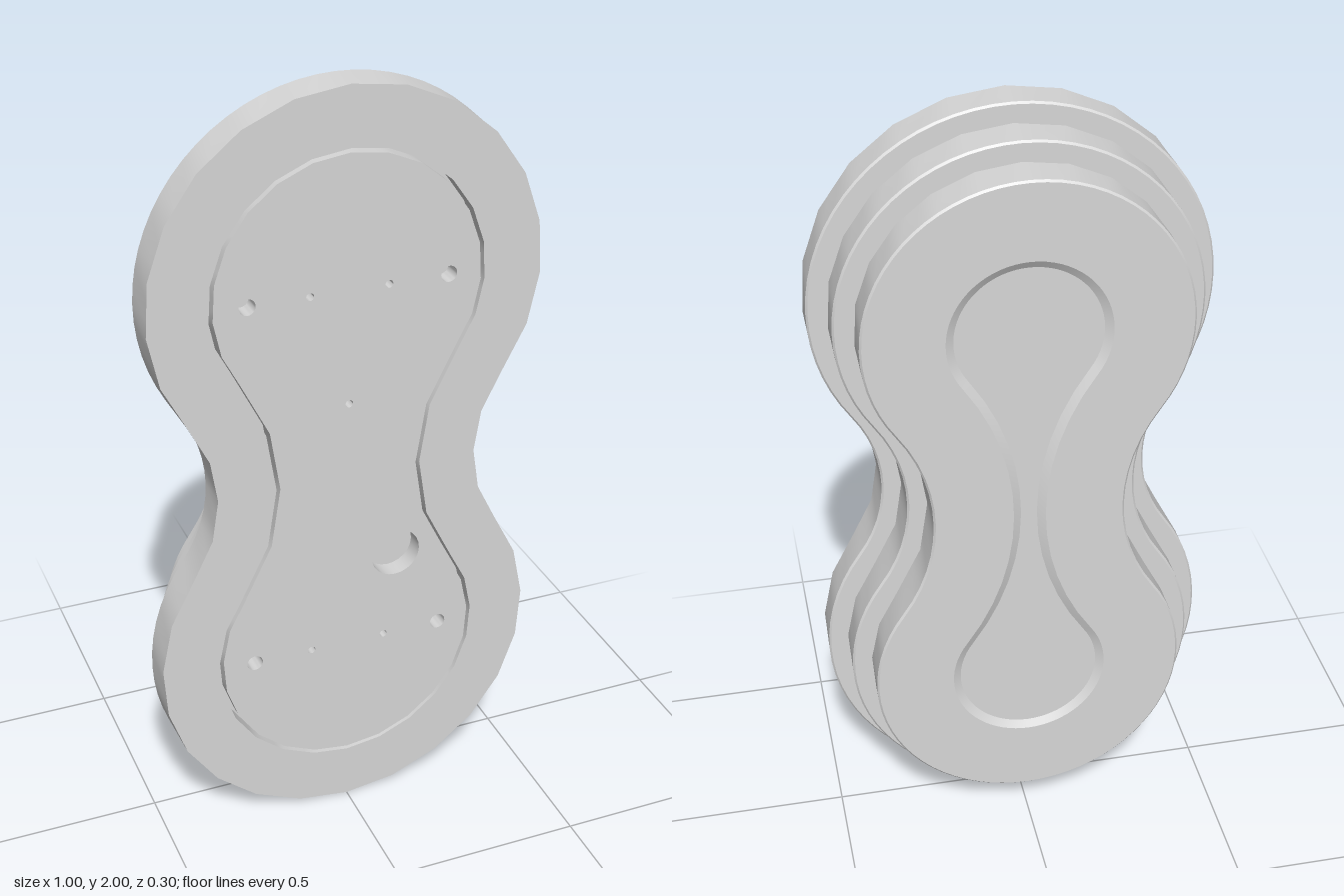
import * as THREE from 'three';
import { toCreasedNormals } from 'three/addons/utils/BufferGeometryUtils.js';

const LOBE = 0.5;                  // lobe radius, lobes centred at y = 0.5 and 1.5
const WAIST = 0.361, WAIST_X = 0.701; // concave arcs joining the lobes
const TANGENT = Math.atan2(0.5, WAIST_X);
const LOBE_SEGS = 16, WAIST_SEGS = 4, FINE = 3; // chords per arc, fine steps per chord

// Hourglass outline, counter-clockwise, shrunk inward by `inset`.
// A round outline follows the arcs, otherwise its points lie on coarse chords.
function outline(inset, round) {
  const points = [];
  const arc = (cx, cy, r, from, to, segs) => {
    const at = (s) => {
      const a = from + (to - from) * s / segs;
      return new THREE.Vector2(cx + r * Math.cos(a), cy + r * Math.sin(a));
    };
    for (let i = 0; i < segs; i++) {
      for (let k = 0; k < FINE; k++) {
        points.push(round ? at(i + k / FINE) : at(i).lerp(at(i + 1), k / FINE));
      }
    }
  };
  const r = LOBE - inset, w = WAIST + inset, t = TANGENT, PI = Math.PI;
  arc(0, 1.5, r, -t, PI + t, LOBE_SEGS);
  arc(-WAIST_X, 1, w, t, -t, WAIST_SEGS);
  arc(0, 0.5, r, PI - t, 2 * PI + t, LOBE_SEGS);
  arc(WAIST_X, 1, w, PI + t, PI - t, WAIST_SEGS);
  return points;
}

// Sweeps a profile of [inset, z, round] steps around the hourglass outline
function sweep(profile) {
  const position = [], index = [];
  let n = 0;
  for (const [inset, z, round] of profile) {
    const ring = outline(inset, round);
    n = ring.length;
    for (const p of ring) position.push(p.x, p.y, z);
  }
  for (let i = 0; i < profile.length - 1; i++) {
    for (let j = 0; j < n; j++) {
      const a = i * n + j, b = i * n + (j + 1) % n;
      index.push(a, a + n, b, b, a + n, b + n);
    }
  }
  const geometry = new THREE.BufferGeometry();
  geometry.setAttribute('position', new THREE.Float32BufferAttribute(position, 3));
  geometry.setIndex(index);
  return toCreasedNormals(geometry, 0.5);
}

export function createModel() {
  const group = new THREE.Group();
  const grey = new THREE.MeshStandardMaterial({ color: 0xd6d6d6 });
  grey.name = 'light grey';
  const add = (name, geometry) => {
    const mesh = new THREE.Mesh(geometry, grey);
    mesh.name = name;
    group.add(mesh);
    return mesh;
  };

  // Front tier with the pocket for the cover
  add('frontTier', sweep([
    [0.15, 0.1, false], [0.15, 0.15, false], [0, 0.15, false],
    [0, 0.055, true], [0.005, 0.05, true], [0.05, 0.05, false],
  ]));
  const floor = new THREE.ShapeGeometry(new THREE.Shape(outline(0.15, false)));
  add('pocketFloor', floor).position.z = 0.1;

  // Middle tier
  add('middleTier', sweep([
    [0.05, 0.05, false], [0.05, -0.045, true], [0.055, -0.05, true], [0.1, -0.05, false],
  ]));

  // Back tier with a shallow, sloping recess
  add('backTier', sweep([
    [0.1, -0.05, false], [0.1, -0.145, true], [0.105, -0.15, true],
    [0.3, -0.15, true], [0.32, -0.138, true],
  ]));
  const recess = new THREE.ShapeGeometry(new THREE.Shape(outline(0.32, true)));
  recess.rotateY(Math.PI);
  add('recessFloor', recess).position.z = -0.138;

  // Cover plate with screw holes, pin holes and a cable opening
  const cover = new THREE.Shape(outline(0.16, false));
  const hole = (x, y, r) => {
    cover.holes.push(new THREE.Path().absarc(x, y, r, 0, Math.PI * 2, true));
  };
  for (const y of [0.5, 1.5]) {
    for (const side of [-1, 1]) {
      hole(side * 0.255, y, 0.021);
      hole(side * 0.1, y, 0.01);
    }
  }
  hole(0, 1.2, 0.01);
  hole(0.13, 0.745, 0.066);
  const plate = new THREE.ExtrudeGeometry(cover, { depth: 0.05, bevelEnabled: false, curveSegments: 12 });
  add('coverPlate', toCreasedNormals(plate, 0.6)).position.z = 0.1;

  return group;
}
